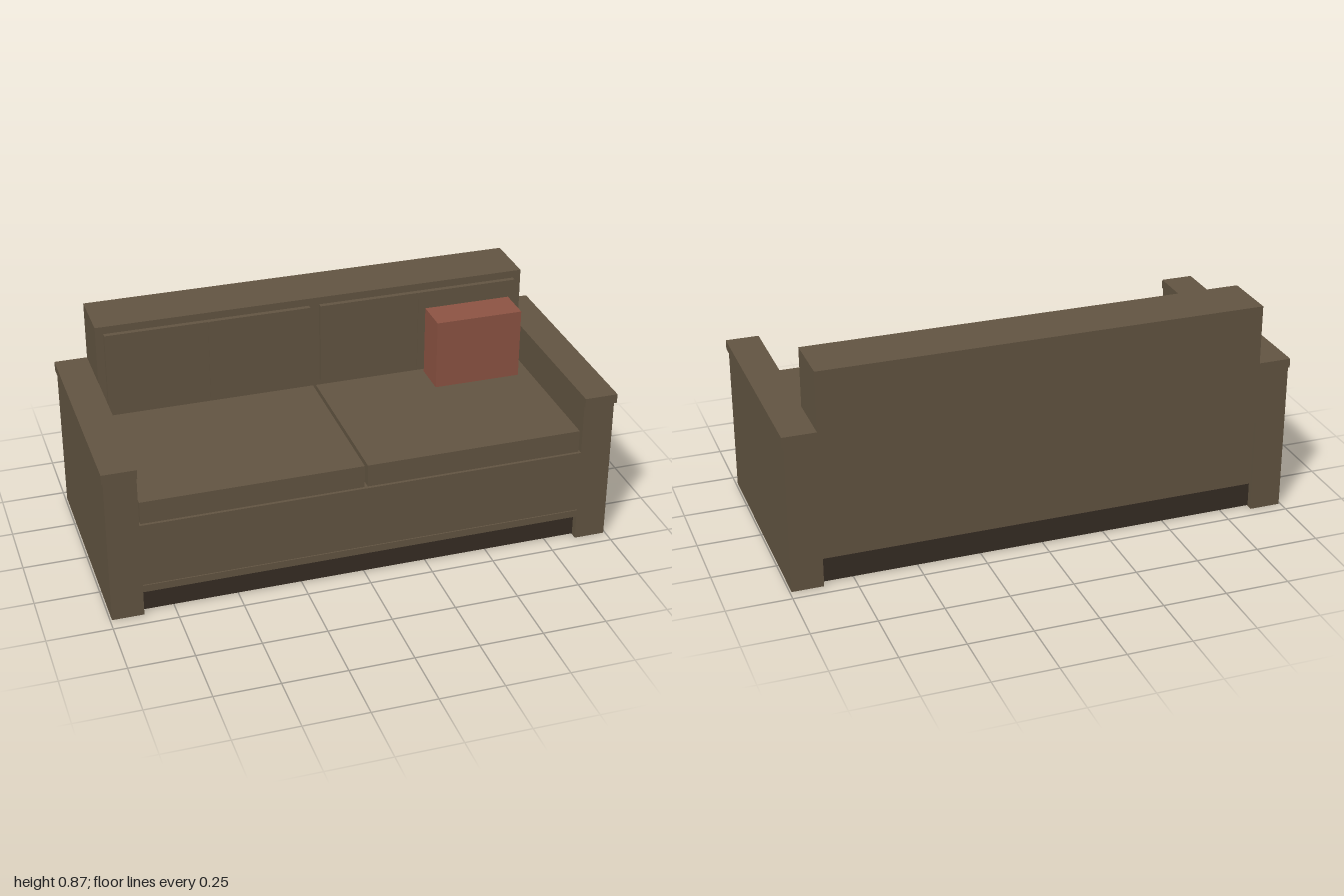
import * as THREE from 'three';

export function createModel() {
  const model = new THREE.Group();
  model.name = 'sofa';

  const fabric = new THREE.MeshStandardMaterial({ color: 0x645643 });
  fabric.name = 'brown fabric';
  const dark = new THREE.MeshStandardMaterial({ color: 0x372d24 });
  dark.name = 'dark base';
  const red = new THREE.MeshStandardMaterial({ color: 0x8f5544 });
  red.name = 'red pillow fabric';

  // Box given by its minimum and maximum on each axis
  function box(name, [x0, x1], [y0, y1], [z0, z1], material = fabric, parent = model) {
    const mesh = new THREE.Mesh(new THREE.BoxGeometry(x1 - x0, y1 - y0, z1 - z0), material);
    mesh.position.set((x0 + x1) / 2, (y0 + y1) / 2, (z0 + z1) / 2);
    mesh.name = name;
    parent.add(mesh);
    return mesh;
  }

  // Seat base with a thin lip along its lower front edge
  const inner = 0.87, front = 0.444, back = -0.453;
  box('seatBase', [-inner, inner], [0.105, 0.39], [-0.435, front]);
  box('frontLip', [-inner, inner], [0.103, 0.132], [front - 0.01, 0.449]);

  // Recessed dark plinth boards and underside
  box('underside', [-inner, inner], [0.097, 0.105], [-0.42, 0.41], dark);
  box('frontPlinth', [-inner, inner], [0.003, 0.105], [0.4, 0.415], dark);
  box('backPlinth', [-inner, inner], [0.003, 0.105], [-0.425, -0.41], dark);

  // Backrest frame
  box('backrest', [-inner, inner], [0.38, 0.868], [back, -0.229]);

  for (const side of [-1, 1]) {
    const span = (a, b) => (side > 0 ? [a, b] : [-b, -a]);

    // Arm: solid above, with an open-bottomed skirt below, and an overhanging cap
    const arm = new THREE.Group();
    arm.name = side > 0 ? 'leftArm' : 'rightArm';
    model.add(arm);
    const outer = 0.993, wall = 0.02, skirt = [0, 0.1];
    box('armBody', span(inner, outer), [0.1, 0.595], [back, front], fabric, arm);
    box('skirtInner', span(inner, inner + wall), skirt, [back, front], fabric, arm);
    box('skirtOuter', span(outer - wall, outer), skirt, [back, front], fabric, arm);
    box('skirtFront', span(inner + wall, outer - wall), skirt, [front - wall, front], fabric, arm);
    box('skirtBack', span(inner + wall, outer - wall), skirt, [back, back + wall], fabric, arm);
    box('armCap', span(0.869, 1), [0.595, 0.632], [back, 0.454], fabric, arm);

    // Seat cushion
    box('seatCushion', span(0.006, 0.864), [0.39, 0.481], [-0.229, 0.432]);

    // Back cushion with a slim vertical centre seam
    box('backCushion', span(0.021, 0.839), [0.51, 0.838], [-0.235, -0.209]);
    box('backCushionSeam', span(0.427, 0.433), [0.51, 0.838], [-0.215, -0.205]);
  }

  // Throw pillow at the model's left
  box('throwPillow', [0.458, 0.812], [0.481, 0.766], [-0.208, -0.066], red);

  return model;
}
